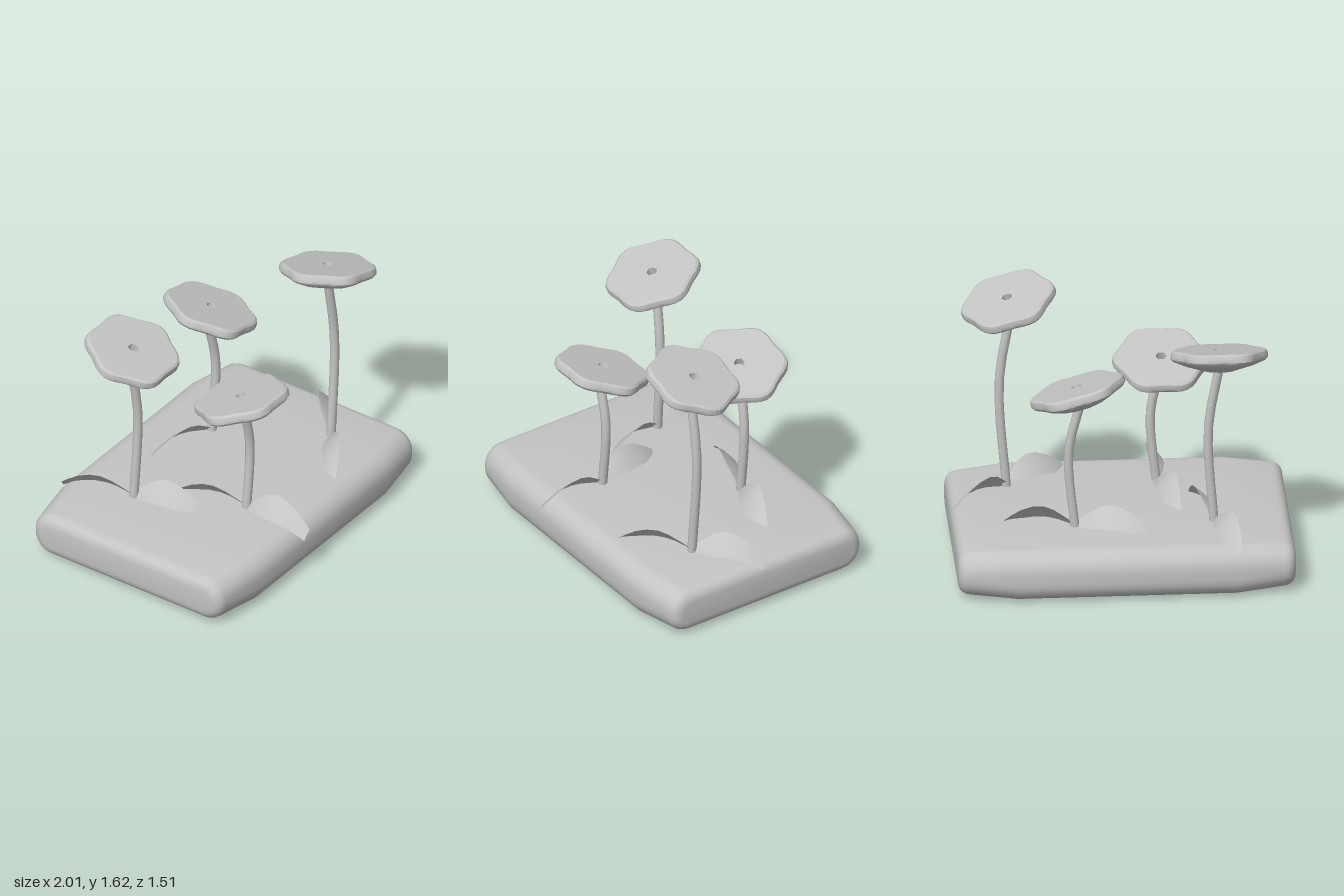
import * as THREE from 'three';
import { toCreasedNormals } from 'three/addons/utils/BufferGeometryUtils.js';

const stone = new THREE.MeshStandardMaterial({ color: 0xc4c4c4, side: THREE.DoubleSide });
stone.name = 'plain grey';

const V = (x, y, z) => new THREE.Vector3(x, y, z);

function part(name, geometry) {
  const mesh = new THREE.Mesh(geometry, stone);
  mesh.name = name;
  return mesh;
}

// Skin between rings of equal point count
function loft(rings, closed) {
  const n = rings[0].length, index = [];
  for (let i = 0; i < rings.length - 1; i++) {
    for (let j = 0; j < (closed ? n : n - 1); j++) {
      const k = (j + 1) % n, a = i * n, b = a + n;
      index.push(a + j, a + k, b + j, a + k, b + k, b + j);
    }
  }
  if (closed) {
    const last = (rings.length - 1) * n;
    for (let j = 1; j < n - 1; j++) index.push(0, j + 1, j, last, last + j, last + j + 1);
  }
  const g = new THREE.BufferGeometry().setFromPoints(rings.flat());
  g.setIndex(index);
  return g;
}

// Cushion-like slab: rounded rectangles swept along x, tapering toward the ends
function slab() {
  const stations = [[0.65, 0], [0.93, 0]];
  for (let i = 1; i <= 5; i++) {
    const a = (i / 5) * Math.PI / 2;
    stations.push([0.93 + 0.07 * Math.sin(a), 0.07 * (1 - Math.cos(a))]);
  }
  const all = [...stations.map(([x, s]) => [-x, s]).reverse(), ...stations];
  const rings = all.map(([x, inset]) => {
    const t = Math.max(0, Math.min(1, (Math.abs(x) - 0.65) / 0.28));
    const hy = 0.157 - 0.018 * t - inset, hz = 0.73 - 0.045 * t - inset;
    const r = 0.125 - inset * 0.9;
    const ring = [];
    for (let c = 0; c < 4; c++) {
      const sy = c === 0 || c === 1 ? 1 : -1, sz = c === 0 || c === 3 ? 1 : -1;
      for (let k = 0; k <= 6; k++) {
        const a = (c + k / 6) * Math.PI / 2;
        ring.push(V(x, 0.158 + sy * (hy - r) + r * Math.sin(a), -0.03 + sz * (hz - r) + r * Math.cos(a)));
      }
    }
    return ring;
  });
  return toCreasedNormals(loft(rings, true), 0.6);
}

// Flower head: lathe with six soft lobes and a small centre hole
function headGeometry() {
  const profile = [
    [0, -0.14], [0.1, -0.135], [0.35, -0.125], [0.7, -0.095], [0.95, -0.065], [0.995, -0.05],
    [1, -0.03], [0.98, -0.01], [0.93, 0], [0.11, 0], [0.11, -0.05], [0, -0.05],
  ].map(([r, y]) => new THREE.Vector2(r, y));
  const g = new THREE.LatheGeometry(profile, 48);
  const p = g.attributes.position;
  for (let i = 0; i < p.count; i++) {
    const x = p.getX(i), z = p.getZ(i);
    const lobe = 0.276 + 0.014 * Math.cos(6 * Math.atan2(z, x));
    p.setX(i, x * lobe);
    p.setZ(i, z * lobe);
  }
  return toCreasedNormals(g, 0.6);
}

// Arched leaf blade leaning to one side, from the stem foot to a blunt tip
function leafGeometry(foot, tipX, tipZ) {
  const len = Math.hypot(tipX, tipZ), nx = -tipZ / len, nz = tipX / len;
  // along, half width, high edge y, low edge y
  const steps = [
    [0, 0.012, 0.33, 0.3], [0.12, 0.03, 0.375, 0.315], [0.28, 0.048, 0.425, 0.325], [0.42, 0.054, 0.445, 0.33],
    [0.58, 0.052, 0.436, 0.328], [0.74, 0.045, 0.405, 0.315], [0.88, 0.036, 0.362, 0.293], [1, 0.027, 0.318, 0.265],
  ];
  const rings = steps.map(([t, w, high, low]) => [1, 0, -1].map((s) =>
    V(foot.x + tipX * t + nx * w * s,
      (s === 1 ? low : s === -1 ? high : (high + low) / 2 + 0.008),
      foot.z + tipZ * t + nz * w * s)));
  const g = loft(rings, false);
  g.computeVertexNormals();
  return g;
}

// head centre, head tilt (x, z), stem bend point, stem foot, two leaf tips relative to the foot
const flowers = [
  { head: V(-0.57, 1.41, -0.28), tilt: [0, 0.3], bend: V(-0.505, 0.9, -0.295), foot: V(-0.54, 0.28, -0.3),
    leaves: [[-0.115, -0.44], [0.1, 0.42]] },
  { head: V(-0.265, 1.125, 0.28), tilt: [0, -0.3], bend: V(-0.203, 0.75, 0.305), foot: V(-0.24, 0.28, 0.305),
    leaves: [[-0.005, 0.445], [-0.09, -0.445]] },
  { head: V(0.28, 1.215, -0.32), tilt: [0.28, 0.18], bend: V(0.325, 0.79, -0.325), foot: V(0.285, 0.28, -0.325),
    leaves: [[-0.445, -0.145], [0.41, 0.12]] },
  { head: V(0.65, 1.545, 0.26), tilt: [0.28, -0.17], bend: V(0.695, 0.99, 0.275), foot: V(0.65, 0.28, 0.28),
    leaves: [[-0.365, 0.265], [0.34, -0.29]] },
];

export function createModel() {
  const model = new THREE.Group();
  model.name = 'flowerBed';
  model.add(part('base', slab()));

  const headShape = headGeometry();
  for (const f of flowers) {
    const flower = new THREE.Group();
    flower.name = 'flower';

    const normal = V(f.tilt[0], 1, f.tilt[1]).normalize();
    const head = part('flowerHead', headShape);
    head.position.copy(f.head);
    head.quaternion.setFromUnitVectors(V(0, 1, 0), normal);
    flower.add(head);

    // Gently bent stem
    const top = f.head.clone().addScaledVector(normal, -0.1);
    const path = new THREE.CatmullRomCurve3([f.foot, f.bend, top]);
    flower.add(part('stem', new THREE.TubeGeometry(path, 8, 0.028, 10)));

    for (const [x, z] of f.leaves) flower.add(part('leaf', leafGeometry(f.foot, x, z)));
    model.add(flower);
  }
  return model;
}
